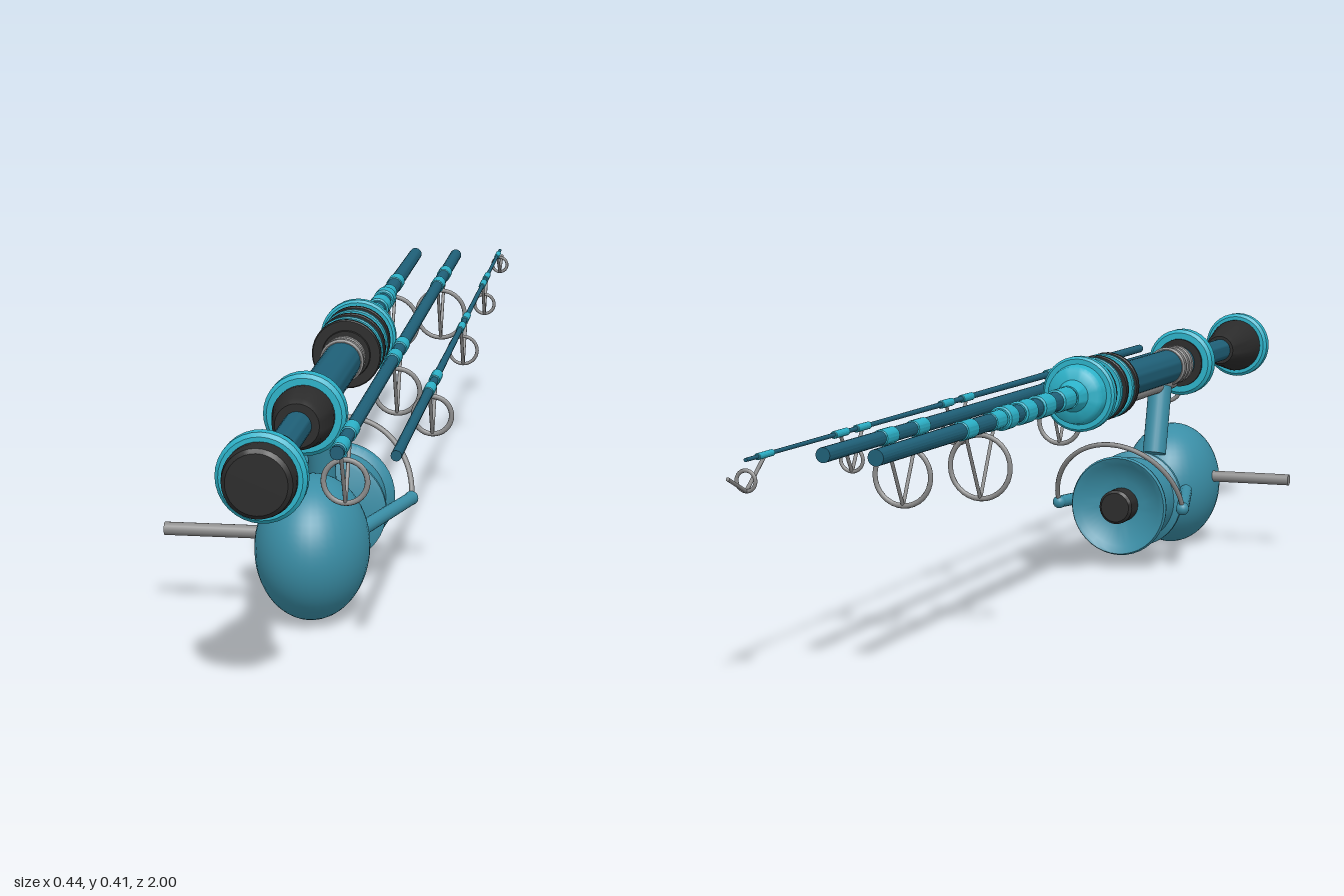
import * as THREE from 'three';
import { toCreasedNormals } from 'three/addons/utils/BufferGeometryUtils.js';

const mat = (color) => new THREE.MeshStandardMaterial({ color });
const V = (x, y, z) => new THREE.Vector3(x, y, z);

export function createModel() {
  const root = new THREE.Group();
  const rodBlue = mat(0x1f6078), bright = mat(0x2cb2c9), reelBlue = mat(0x3a8ea6);
  const black = mat(0x2b2b2b), grey = mat(0x8c8c8c);
  const CX = 0.017, RY = 0.343, REEL_Y = 0.115;

  const add = (parent, name, geometry, material) => {
    const mesh = new THREE.Mesh(geometry, material);
    mesh.name = name;
    parent.add(mesh);
    return mesh;
  };
  const group = (name, x, y) => {
    const g = new THREE.Group();
    g.name = name;
    g.position.set(x, y, 0);
    root.add(g);
    return g;
  };
  // Turned part along z; profile is [z, radius], starting at the back axis
  const turned = (parent, name, profile, material, sides = 32) => {
    const pts = profile.map(([z, r]) => new THREE.Vector2(r, z));
    const geo = new THREE.LatheGeometry(pts, sides).rotateX(Math.PI / 2);
    add(parent, name, toCreasedNormals(geo, 0.6), material);
  };
  // Capped band along z with slightly bevelled edges
  const band = (parent, name, z0, z1, r, material, sides = 32) => {
    const b = Math.min((z1 - z0) * 0.2, r * 0.15, 0.006);
    turned(parent, name, [[z0, 0], [z0, r - b], [z0 + b, r], [z1 - b, r], [z1, r - b], [z1, 0]], material, sides);
  };
  // Straight bar between two points
  const bar = (parent, name, a, b, r0, r1, material, sides = 16) => {
    const d = b.clone().sub(a);
    const mesh = add(parent, name, new THREE.CylinderGeometry(r1, r0, d.length(), sides), material);
    mesh.position.copy(a).add(b).multiplyScalar(0.5);
    mesh.quaternion.setFromUnitVectors(V(0, 1, 0), d.normalize());
  };
  // Line guide: ring below the rod, held by two slanted legs with wrapped feet
  const guide = (parent, z, ringR, ringY, rodR, spread, tip = false) => {
    const g = new THREE.Group();
    g.name = 'lineGuide';
    g.position.z = z;
    parent.add(g);
    const tube = ringR > 0.03 ? 0.0042 : 0.003;
    add(g, 'guideRing', new THREE.TorusGeometry(ringR - tube, tube, 8, 32), grey).position.y = ringY;
    for (const s of [-1, 1]) {
      const atTip = tip && s < 0;
      const foot = V(0, atTip ? -0.02 : -rodR * 0.5, s * (atTip ? 0.055 : spread));
      bar(g, 'guideLeg', foot, V(0, ringY - ringR + tube, 0), 0.003, 0.003, grey, 8);
      if (!atTip) band(g, 'threadWrap', s * spread - 0.024, s * spread + 0.024, rodR + 0.002, bright, 16);
    }
  };

  // Handle section
  const handle = group('handleSection', CX, RY);
  band(handle, 'handleBlank', -0.04, 0.9, 0.022, rodBlue);
  turned(handle, 'frontBlank', [[-0.87, 0], [-0.87, 0.0125], [-0.4, 0.014], [-0.05, 0.018], [-0.05, 0]], rodBlue, 20);
  turned(handle, 'buttGrip', [[0.825, 0], [0.825, 0.028], [0.84, 0.034], [0.93, 0.052], [0.98, 0.053], [0.995, 0.05], [1, 0.044], [1, 0]], black);
  band(handle, 'buttRing', 0.94, 0.968, 0.065, bright);
  turned(handle, 'rearGrip', [[0.55, 0], [0.55, 0.046], [0.6, 0.048], [0.645, 0.04], [0.655, 0.034], [0.655, 0]], black);
  band(handle, 'rearGripRing', 0.555, 0.588, 0.064, bright);
  band(handle, 'reelSeat', 0.14, 0.56, 0.032, rodBlue);
  for (const z of [0.47, 0.492, 0.514, 0.158, 0.178]) {
    band(handle, 'seatRing', z, z + 0.017, 0.037, grey);
  }

  // Fore grip with raised rings
  turned(handle, 'foreGrip', [[-0.03, 0], [-0.03, 0.052], [0.06, 0.05], [0.125, 0.046], [0.14, 0.04], [0.14, 0]], black);
  for (const z of [0.012, 0.043, 0.075, 0.107, 0.132]) {
    band(handle, 'foreGripRing', z - 0.005, z + 0.005, 0.059, z === 0.043 || z === 0.107 ? bright : black);
  }
  band(handle, 'foreGripCollar', -0.025, -0.004, 0.066, bright);
  turned(handle, 'foreGripCap', [[-0.075, 0], [-0.075, 0.02], [-0.05, 0.028], [-0.046, 0.044], [-0.04, 0.05], [-0.025, 0.053], [-0.025, 0]], bright);
  for (const [z, len] of [[-0.11, 0.06], [-0.205, 0.055], [-0.29, 0.05], [-0.37, 0.04]]) {
    band(handle, 'decorBand', z - len / 2, z + len / 2, 0.02, bright, 20);
  }
  guide(handle, -0.475, 0.055, -0.066, 0.0135, 0.06);

  // Middle section
  const middle = group('middleSection', 0.1, RY);
  turned(middle, 'middleBlank', [[-0.87, 0], [-0.87, 0.0115], [0.81, 0.0105], [0.81, 0]], rodBlue, 16);
  guide(middle, -0.588, 0.051, -0.069, 0.011, 0.06);
  guide(middle, 0.108, 0.043, -0.067, 0.011, 0.05);
  guide(middle, 0.725, 0.037, -0.064, 0.0105, 0.05);

  // Tip section
  const tip = group('tipSection', 0.185, RY - 0.001);
  turned(tip, 'tipBlank', [[-0.945, 0], [-0.945, 0.003], [-0.2, 0.0045], [0.3, 0.0065], [0.4, 0.008], [0.81, 0.008], [0.81, 0]], rodBlue, 16);
  guide(tip, 0.335, 0.035, -0.052, 0.0072, 0.045);
  guide(tip, -0.168, 0.028, -0.05, 0.0048, 0.045);
  guide(tip, -0.59, 0.022, -0.046, 0.004, 0.04);
  guide(tip, -0.945, 0.018, -0.03, 0.003, 0.06, true);

  // Reel body, stem, foot and crank
  const reel = group('reel', CX, REEL_Y);
  const body = add(reel, 'reelBody', new THREE.SphereGeometry(1, 40, 28), reelBlue);
  body.scale.set(0.09, 0.115, 0.115);
  body.position.z = 0.51;
  bar(reel, 'reelStem', V(0, 0.07, 0.4), V(0, 0.195, 0.435), 0.022, 0.022, reelBlue, 24);
  const foot = add(reel, 'reelFoot', new THREE.CapsuleGeometry(0.013, 0.26, 6, 16).rotateX(Math.PI / 2), grey);
  foot.position.set(0, 0.196, 0.375);
  bar(reel, 'crankHandle', V(-0.06, 0.017, 0.5), V(-0.237, 0.017, 0.5), 0.0105, 0.0105, grey, 20);

  // Spool with flanges, dished face and knob
  band(reel, 'spoolShaft', 0.25, 0.45, 0.02, grey);
  turned(reel, 'spool', [[0.215, 0], [0.21, 0.045], [0.198, 0.075], [0.19, 0.083], [0.188, 0.088], [0.194, 0.091], [0.202, 0.089],
    [0.212, 0.078], [0.28, 0.078], [0.288, 0.089], [0.296, 0.089], [0.3, 0.08], [0.3, 0]], reelBlue, 40);
  band(reel, 'spoolKnob', 0.172, 0.22, 0.031, black, 28);

  // Rotor arms and wire bail
  for (const s of [-1, 1]) {
    bar(reel, 'rotorArm', V(s * 0.06, 0, 0.41), V(s * 0.119, 0, 0.205), 0.012, 0.011, reelBlue);
    add(reel, 'armEnd', new THREE.SphereGeometry(0.012, 16, 12), reelBlue).position.set(s * 0.119, 0, 0.203);
  }
  const arc = [];
  for (let i = 0; i <= 16; i++) {
    const a = (Math.PI * i) / 16;
    arc.push(V(Math.cos(a) * 0.12, Math.sin(a) * 0.12, 0.203 - 0.066 * Math.sin(a)));
  }
  add(reel, 'bailWire', new THREE.TubeGeometry(new THREE.CatmullRomCurve3(arc), 48, 0.0045, 8), grey);

  return root;
}
